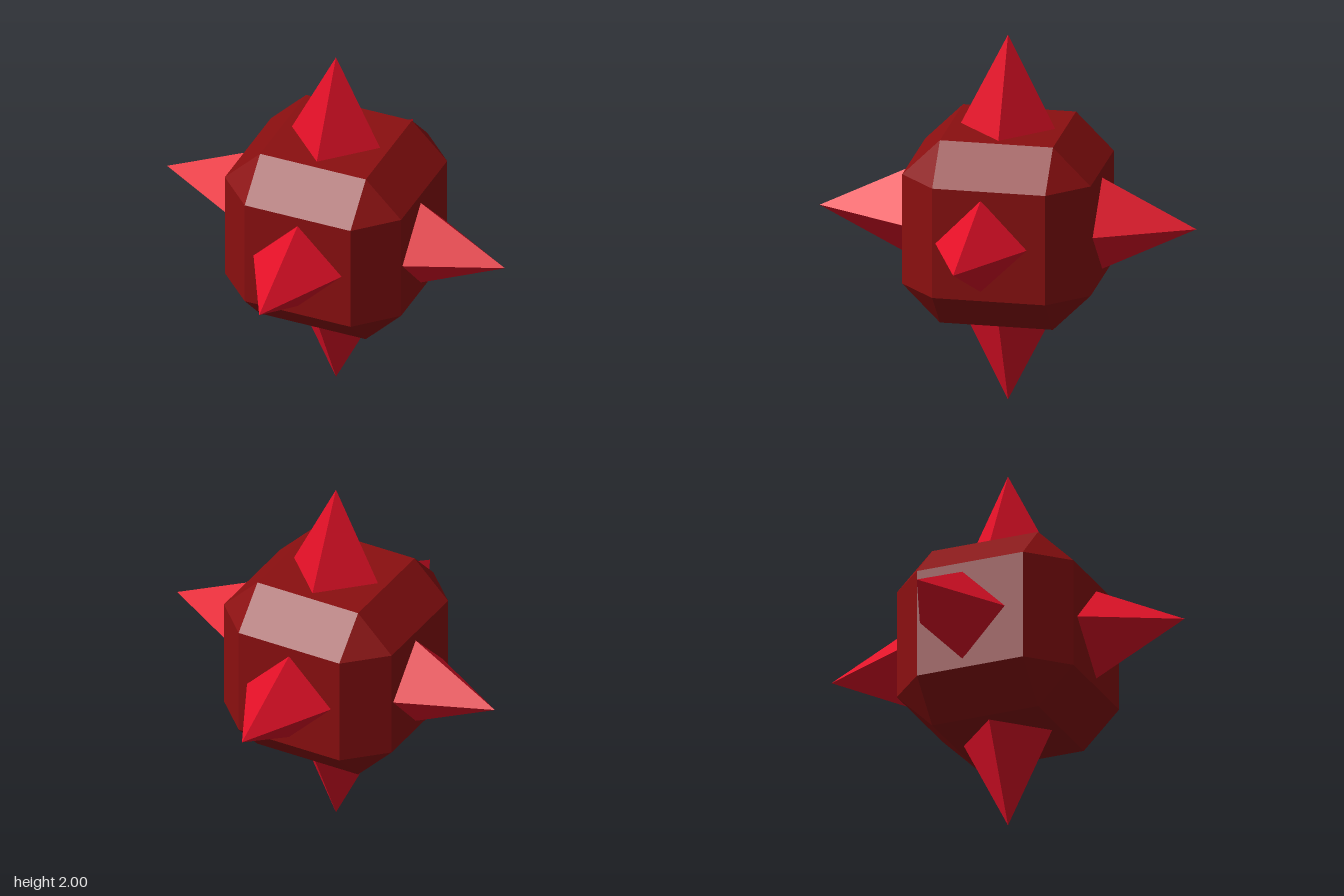
import * as THREE from 'three';
import { ConvexGeometry } from 'three/addons/geometries/ConvexGeometry.js';

export function createModel() {
  const model = new THREE.Group();
  model.name = 'spikedCore';

  const darkRed = new THREE.MeshStandardMaterial({ color: 0x8b0f10, flatShading: true });
  darkRed.name = 'dark red';
  const brightRed = new THREE.MeshStandardMaterial({ color: 0xe21027, flatShading: true });
  brightRed.name = 'bright red';

  // Core: cube with bevelled edges and triangular corners
  const outer = 0.5, inner = 0.3, signs = [-1, 1], points = [];
  for (const x of signs) for (const y of signs) for (const z of signs) {
    points.push(
      new THREE.Vector3(x * outer, y * inner, z * inner),
      new THREE.Vector3(x * inner, y * outer, z * inner),
      new THREE.Vector3(x * inner, y * inner, z * outer)
    );
  }
  const core = new THREE.Mesh(new ConvexGeometry(points), darkRed);
  core.name = 'core';
  core.position.y = 1;
  model.add(core);

  // Spikes: four-sided pyramids; the side pair is swung slightly about y
  const spikeGeometry = new THREE.ConeGeometry(0.25, 0.5, 4).translate(0, 0.75, 0);
  const swing = THREE.MathUtils.degToRad(5);
  const up = new THREE.Vector3(0, 1, 0);
  const side = new THREE.Vector3(Math.cos(swing), 0, Math.sin(swing));
  const spikes = {
    topSpike: up,
    bottomSpike: up.clone().negate(),
    frontSpike: new THREE.Vector3(0, 0, 1),
    backSpike: new THREE.Vector3(0, 0, -1),
    leftSpike: side,
    rightSpike: side.clone().negate()
  };
  for (const [name, direction] of Object.entries(spikes)) {
    const spike = new THREE.Mesh(spikeGeometry, brightRed);
    spike.name = name;
    spike.position.y = 1;
    // Tilt first, then turn about y so the base corners stay upright
    if (Math.abs(direction.y) > 0.5) {
      spike.rotation.x = direction.y > 0 ? 0 : Math.PI;
    } else {
      spike.rotation.order = 'YXZ';
      spike.rotation.set(Math.PI / 2, Math.atan2(direction.x, direction.z), 0);
    }
    model.add(spike);
  }
  return model;
}
